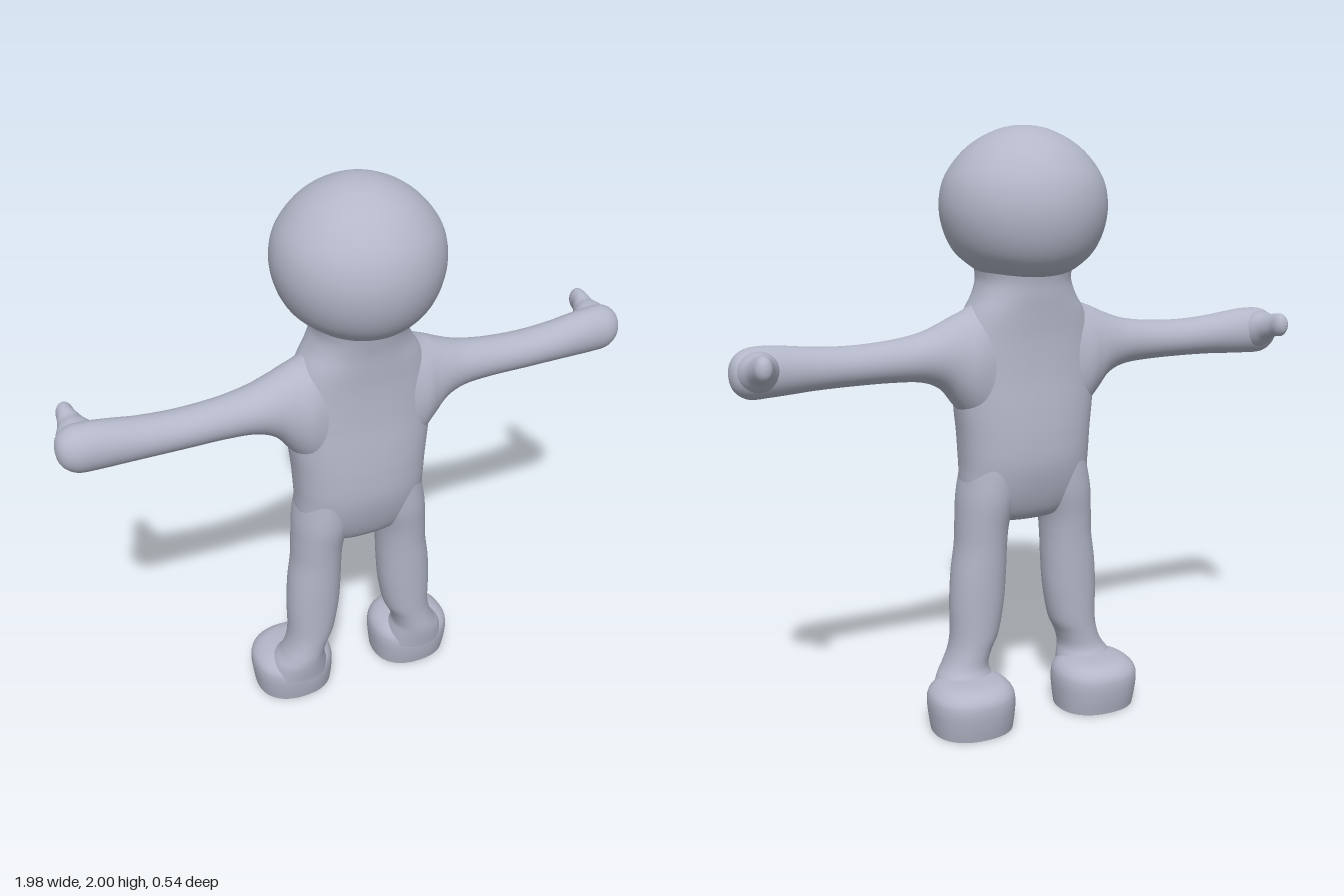
import * as THREE from 'three';

const skin = new THREE.MeshStandardMaterial({ color: 0xb3b7c8 });
skin.name = 'paleBlueGrey';

// How (across, along, other) coordinates of a loft map to x, y, z for each axis.
const PLACE = {
  x: (a, t, b) => [t, b, a],
  y: (a, t, b) => [a, t, b],
  z: (a, t, b) => [b, a, t],
};

// Catmull-Rom blend of whole stations.
function blend(s, i, f) {
  const p = k => s[Math.max(0, Math.min(s.length - 1, k))];
  return s[i].map((_, c) => {
    const p0 = p(i - 1)[c], p1 = p(i)[c], p2 = p(i + 1)[c], p3 = p(i + 2)[c];
    const m1 = (p2 - p0) / 2, m2 = (p3 - p1) / 2;
    return p1 + f * (m1 + f * (3 * (p2 - p1) - 2 * m1 - m2 + f * (2 * (p1 - p2) + m1 + m2)));
  });
}

// Smooth tube through stations [along, centreA, centreB, radiusA, radiusB], in ascending order.
// power 2 gives ellipses, higher gives boxier sections.
function loft(axis, stations, power = 2, sides = 40, steps = 6) {
  const rings = [];
  for (let i = 0; i < stations.length - 1; i++)
    for (let k = 0; k < steps; k++) rings.push(blend(stations, i, k / steps));
  rings.push(stations[stations.length - 1]);
  const pos = [], idx = [];
  const round = v => Math.sign(v) * Math.abs(v) ** (2 / power);
  rings.forEach(([t, ca, cb, ra, rb], r) => {
    for (let j = 0; j < sides; j++) {
      const q = (j / sides) * Math.PI * 2;
      pos.push(...PLACE[axis](
        ca + Math.max(ra, 0) * round(Math.cos(q)), t,
        cb + Math.max(rb, 0) * round(Math.sin(q))));
      if (r === 0) continue;
      const k = (j + 1) % sides, lo = (r - 1) * sides, hi = r * sides;
      idx.push(lo + j, hi + j, lo + k, lo + k, hi + j, hi + k);
    }
  });
  const g = new THREE.BufferGeometry();
  g.setAttribute('position', new THREE.Float32BufferAttribute(pos, 3));
  g.setIndex(idx);
  g.computeVertexNormals();
  return g;
}

// Copy reflected in x, with the corner order restored.
function mirrored(geometry) {
  const g = geometry.clone().scale(-1, 1, 1);
  const ix = g.index.array;
  for (let i = 0; i < ix.length; i += 3) [ix[i + 1], ix[i + 2]] = [ix[i + 2], ix[i + 1]];
  g.computeVertexNormals();
  return g;
}

export function createModel() {
  const model = new THREE.Group();
  model.name = 'figure';
  const add = (name, geometry) => {
    const mesh = new THREE.Mesh(geometry, skin);
    mesh.name = name;
    model.add(mesh);
  };
  const addPair = (name, geometry) => {
    add('left' + name, geometry);
    add('right' + name, mirrored(geometry));
  };

  // Head: a ball, slightly flattened below
  add('head', loft('y', [
    [1.525, 0, 0, 0.13, 0.13], [1.55, 0, 0, 0.17, 0.19], [1.6, 0, 0, 0.227, 0.236],
    [1.67, 0, 0, 0.262, 0.264], [1.75, 0, 0, 0.275, 0.272], [1.83, 0, 0, 0.26, 0.255],
    [1.9, 0, 0, 0.214, 0.212], [1.95, 0, 0, 0.157, 0.157], [1.985, 0, 0, 0.088, 0.088],
    [1.997, 0, 0, 0.04, 0.04], [2, 0, 0, 0, 0],
  ], 2, 56));

  // Torso: crotch up to the neck
  add('torso', loft('y', [
    [0.695, 0, 0, 0, 0], [0.7, 0, 0, 0.1, 0.05], [0.73, 0, 0, 0.17, 0.09],
    [0.8, 0, 0, 0.222, 0.122], [0.9, 0, 0, 0.226, 0.147], [1.0, 0, 0, 0.232, 0.15],
    [1.1, 0, 0, 0.243, 0.144], [1.2, 0, 0, 0.248, 0.135], [1.32, 0, 0, 0.235, 0.131],
    [1.4, 0, 0, 0.208, 0.134], [1.46, 0, 0, 0.172, 0.138], [1.51, 0, 0.003, 0.154, 0.143],
    [1.56, 0, 0.004, 0.158, 0.152],
  ], 2.4, 56));

  // Arm: flared shoulder out to the rounded hand
  addPair('Arm', loft('x', [
    [0.12, 0, 1.22, 0.11, 0.26], [0.2, 0, 1.235, 0.118, 0.19], [0.25, -0.002, 1.253, 0.105, 0.15],
    [0.3, -0.003, 1.272, 0.092, 0.108], [0.37, -0.004, 1.275, 0.08, 0.08],
    [0.47, -0.003, 1.271, 0.07, 0.068], [0.6, -0.002, 1.268, 0.068, 0.064],
    [0.72, -0.004, 1.27, 0.067, 0.068], [0.8, -0.008, 1.273, 0.067, 0.075],
    [0.87, -0.012, 1.275, 0.068, 0.08], [0.93, -0.017, 1.274, 0.068, 0.079],
    [0.965, -0.02, 1.274, 0.056, 0.063], [0.985, -0.021, 1.274, 0.033, 0.037],
    [0.992, -0.021, 1.274, 0, 0],
  ]));

  // Thumb: broad base tapering to a round tip
  addPair('Thumb', loft('z', [
    [-0.192, 1.313, 0.922, 0, 0], [-0.187, 1.313, 0.922, 0.022, 0.016],
    [-0.17, 1.312, 0.922, 0.038, 0.027], [-0.14, 1.309, 0.921, 0.041, 0.032],
    [-0.105, 1.298, 0.916, 0.045, 0.045], [-0.07, 1.285, 0.912, 0.062, 0.064],
    [-0.02, 1.275, 0.908, 0.07, 0.075],
  ], 2, 28));

  // Leg: ankle up to the hip
  addPair('Leg', loft('y', [
    [0.1, 0.235, -0.03, 0.115, 0.1], [0.16, 0.232, -0.012, 0.096, 0.093],
    [0.2, 0.223, 0, 0.078, 0.085], [0.25, 0.206, 0.001, 0.074, 0.083],
    [0.31, 0.188, 0, 0.083, 0.085], [0.42, 0.178, 0, 0.093, 0.09],
    [0.52, 0.171, 0, 0.093, 0.095], [0.62, 0.162, 0, 0.087, 0.1],
    [0.7, 0.156, 0, 0.088, 0.108], [0.8, 0.14, 0, 0.096, 0.122], [0.92, 0.12, 0, 0.09, 0.125],
  ], 2.1));

  // Foot: rounded block reaching backwards, with a flat sole
  const foot = [
    [0, 0.235, -0.08, 0.138, 0.125], [0.05, 0.236, -0.08, 0.144, 0.136],
    [0.1, 0.237, -0.08, 0.147, 0.142], [0.135, 0.237, -0.08, 0.14, 0.137],
    [0.16, 0.235, -0.08, 0.115, 0.114], [0.172, 0.233, -0.08, 0.075, 0.075],
    [0.176, 0.232, -0.08, 0, 0],
  ];
  addPair('Foot', loft('y', foot, 2.3));
  addPair('Sole', loft('y', [[0, 0.235, -0.08, 0, 0], foot[0]], 2.3, 40, 1));

  return model;
}
